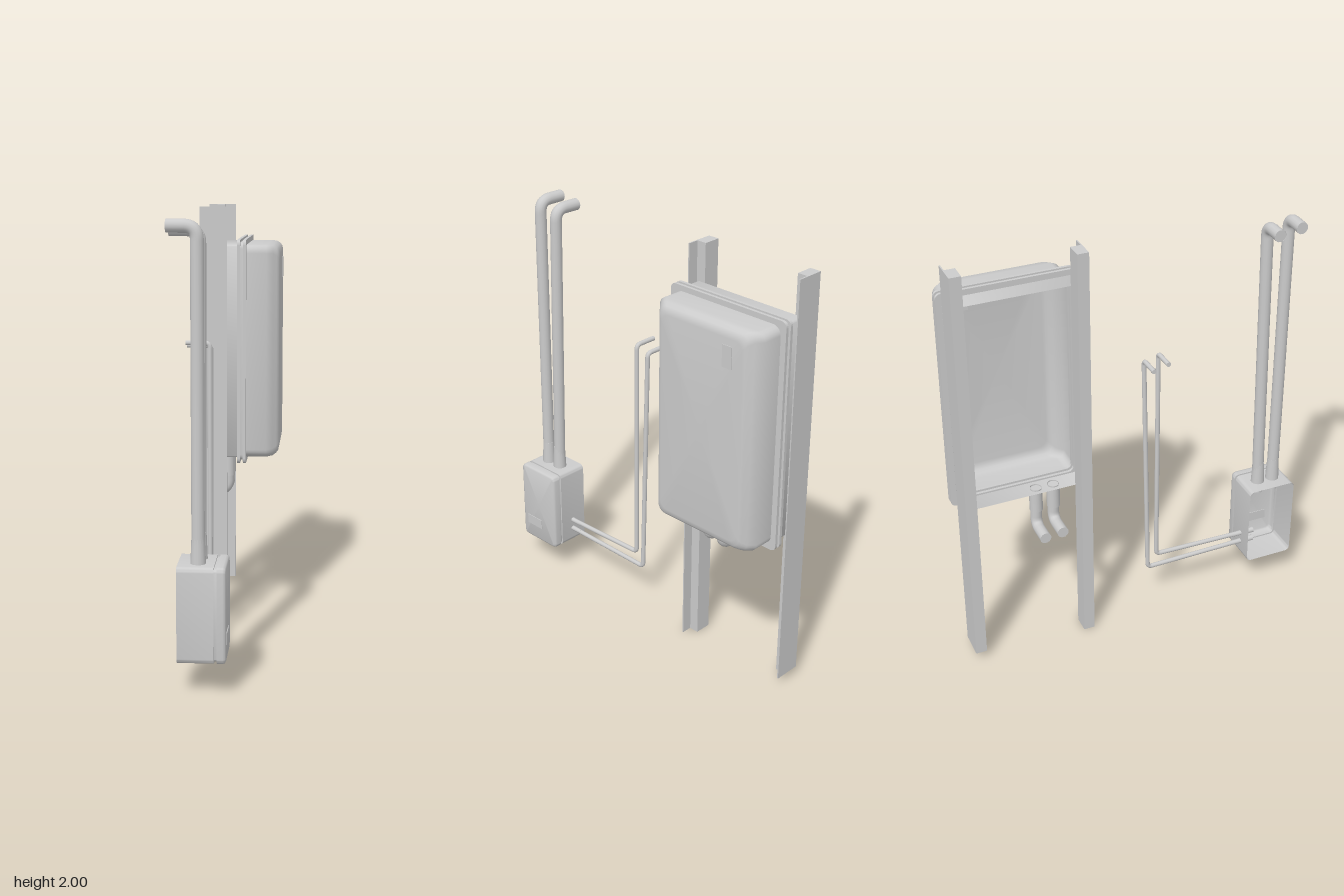
import * as THREE from 'three';
import { toCreasedNormals } from 'three/addons/utils/BufferGeometryUtils.js';

const material = new THREE.MeshStandardMaterial({ color: 0xcccccc, side: THREE.DoubleSide });

function add(parent, name, geometry, x = 0, y = 0, z = 0) {
  const mesh = new THREE.Mesh(geometry, material);
  mesh.name = name;
  mesh.position.set(x, y, z);
  parent.add(mesh);
  return mesh;
}

// Rounded rectangle in the y-z plane
function roundedLoop(hy, hz, r, steps = 5) {
  const points = [];
  const corners = [[1, 1], [-1, 1], [-1, -1], [1, -1]];
  corners.forEach(([sy, sz], k) => {
    for (let i = 0; i <= steps; i++) {
      const a = (k + i / steps) * Math.PI / 2;
      points.push([sy * (hy - r) + r * Math.cos(a), sz * (hz - r) + r * Math.sin(a)]);
    }
  });
  return points;
}

// Shell along x through sections [x, halfY, halfZ, radius]; closed at the last one if capped
function shell(sections, capped) {
  const pos = [], index = [];
  let n = 0;
  for (const [x, hy, hz, r] of sections) {
    const loop = roundedLoop(hy, hz, r);
    n = loop.length;
    for (const [y, z] of loop) pos.push(x, y, z);
  }
  const last = (sections.length - 1) * n;
  for (let s = 0; s < last; s += n) {
    for (let j = 0; j < n; j++) {
      const k = (j + 1) % n;
      index.push(s + j, s + k, s + n + k, s + j, s + n + k, s + n + j);
    }
  }
  if (capped) {
    pos.push(sections[sections.length - 1][0], 0, 0);
    for (let j = 0; j < n; j++) index.push(last + n, last + j, last + (j + 1) % n);
  }
  const g = new THREE.BufferGeometry();
  g.setAttribute('position', new THREE.Float32BufferAttribute(pos, 3));
  g.setIndex(index);
  return toCreasedNormals(g, 0.95);
}

// Flat frame with a rounded opening, facing +x
function frame(hy, hz, r, rim, depth) {
  const toPoints = (loop) => loop.map(([y, z]) => new THREE.Vector2(-z, y));
  const shape = new THREE.Shape(toPoints(roundedLoop(hy, hz, r)));
  shape.holes.push(new THREE.Path(toPoints(roundedLoop(hy - rim, hz - rim, r))));
  const g = new THREE.ExtrudeGeometry(shape, { depth, bevelEnabled: false });
  return g.rotateY(Math.PI / 2);
}

// Round pipe through points with bent corners and a closed far end that points to -x
function pipe(parent, name, coords, radius, bend) {
  const p = coords.map((c) => new THREE.Vector3(...c));
  const path = new THREE.CurvePath();
  let from = p[0];
  for (let i = 1; i < p.length - 1; i++) {
    const enter = p[i].clone().add(p[i - 1].clone().sub(p[i]).setLength(bend));
    const leave = p[i].clone().add(p[i + 1].clone().sub(p[i]).setLength(bend));
    path.add(new THREE.LineCurve3(from, enter));
    path.add(new THREE.QuadraticBezierCurve3(enter, p[i], leave));
    from = leave;
  }
  const end = p[p.length - 1];
  path.add(new THREE.LineCurve3(from, end));
  const group = new THREE.Group();
  group.name = name;
  add(group, name + 'Tube', new THREE.TubeGeometry(path, 180, radius, 14));
  add(group, name + 'End', new THREE.CircleGeometry(radius, 14).rotateY(-Math.PI / 2), end.x, end.y, end.z);
  parent.add(group);
  return group;
}

function createModel() {
  const model = new THREE.Group();
  model.name = 'wallCabinetAssembly';

  // Two mounting rails: a bar with a thin outer flange
  for (const side of [1, -1]) {
    const bottom = side > 0 ? 0 : 0.04, height = 2 - bottom;
    const rail = new THREE.Group();
    rail.name = side > 0 ? 'leftRail' : 'rightRail';
    add(rail, 'railBar', new THREE.BoxGeometry(0.08, height, 0.05), -0.13, bottom + height / 2, -0.527 + side * 0.273);
    add(rail, 'railFlange', new THREE.BoxGeometry(0.13, height, 0.006), -0.105, bottom + height / 2, -0.527 + side * 0.298);
    model.add(rail);
  }

  // Large cabinet: open back, two flanges, bevelled cover
  const cabinet = new THREE.Group();
  cabinet.name = 'cabinet';
  cabinet.position.set(0, 1.312, -0.527);
  add(cabinet, 'cabinetBody', shell([[-0.09, 0.508, 0.288, 0.006], [0.01, 0.508, 0.288, 0.006]], false));
  add(cabinet, 'backFlange', frame(0.535, 0.315, 0.025, 0.035, 0.014), 0.008);
  add(cabinet, 'gasket', shell([[0.02, 0.522, 0.302, 0.03], [0.038, 0.522, 0.302, 0.03]], false));
  add(cabinet, 'coverFlange', frame(0.535, 0.315, 0.025, 0.035, 0.014), 0.036);
  add(cabinet, 'cover', shell([
    [0.045, 0.51, 0.288, 0.04], [0.145, 0.51, 0.288, 0.04], [0.175, 0.508, 0.26, 0.04],
    [0.192, 0.498, 0.245, 0.04], [0.202, 0.485, 0.235, 0.04], [0.205, 0.465, 0.22, 0.04],
  ], true));
  add(cabinet, 'coverLatch', new THREE.BoxGeometry(0.006, 0.1, 0.05), 0.205, 0.383, -0.143);
  model.add(cabinet);

  // Two short bent outlets under the cabinet, with collars
  [[-0.375, 0.615], [-0.46, 0.607]].forEach(([z, y], i) => {
    pipe(model, 'outletPipe' + (i + 1), [[-0.045, 0.81, z + 0.004], [-0.045, y, z], [-0.17, y, z]], 0.027, 0.05);
    add(model, 'outletCollar' + (i + 1), new THREE.CylinderGeometry(0.031, 0.031, 0.11, 16), -0.045, 0.745, z + 0.003);
  });

  // Small box: open back, groove, lid
  const box = new THREE.Group();
  box.name = 'smallBox';
  box.position.set(0, 0.35, 0.722);
  add(box, 'boxBody', shell([[-0.17, 0.207, 0.12, 0.022], [-0.015, 0.207, 0.12, 0.022]], false));
  add(box, 'boxGroove', shell([
    [-0.015, 0.207, 0.12, 0.022], [-0.015, 0.2, 0.113, 0.02], [-0.003, 0.2, 0.113, 0.02], [-0.003, 0.207, 0.12, 0.022],
  ], false));
  add(box, 'boxLid', shell([
    [-0.003, 0.207, 0.12, 0.022], [0.022, 0.207, 0.12, 0.022], [0.031, 0.204, 0.117, 0.02], [0.035, 0.196, 0.109, 0.016],
  ], true));
  add(box, 'lidPlate', new THREE.BoxGeometry(0.006, 0.05, 0.105), 0.035, -0.105, 0.033);
  model.add(box);

  // Two tall pipes from the box top, with collars
  [[0.765, 0.763, 1.945], [0.685, 0.656, 1.927]].forEach(([z0, z1, y], i) => {
    pipe(model, 'tallPipe' + (i + 1), [[-0.085, 0.5, z0], [-0.085, y, z1], [-0.21, y, z1 - 0.006]], 0.028, 0.055);
    add(model, 'tallPipeCollar' + (i + 1), new THREE.CylinderGeometry(0.028, 0.034, 0.14, 16), -0.085, 0.6, z0 - 0.001);
  });

  // Two thin pipes from the box side, up and back, with collars
  [[0.265, 0.278, 0.137, 0.132, 1.402], [0.217, 0.211, 0.092, 0.062, 1.382]].forEach(([y0, y1, z1, z2, top], i) => {
    pipe(model, 'thinPipe' + (i + 1), [
      [-0.09, y0, 0.66], [-0.09, y1, z1], [-0.09, top, z2], [-0.2, top, z2],
    ], 0.011, 0.022);
    const collar = new THREE.CylinderGeometry(0.014, 0.011, 0.13, 14).rotateX(Math.PI / 2);
    add(model, 'thinPipeCollar' + (i + 1), collar, -0.09, y0 + (y1 - y0) * 0.1, 0.605);
  });

  return model;
}

export { createModel };
